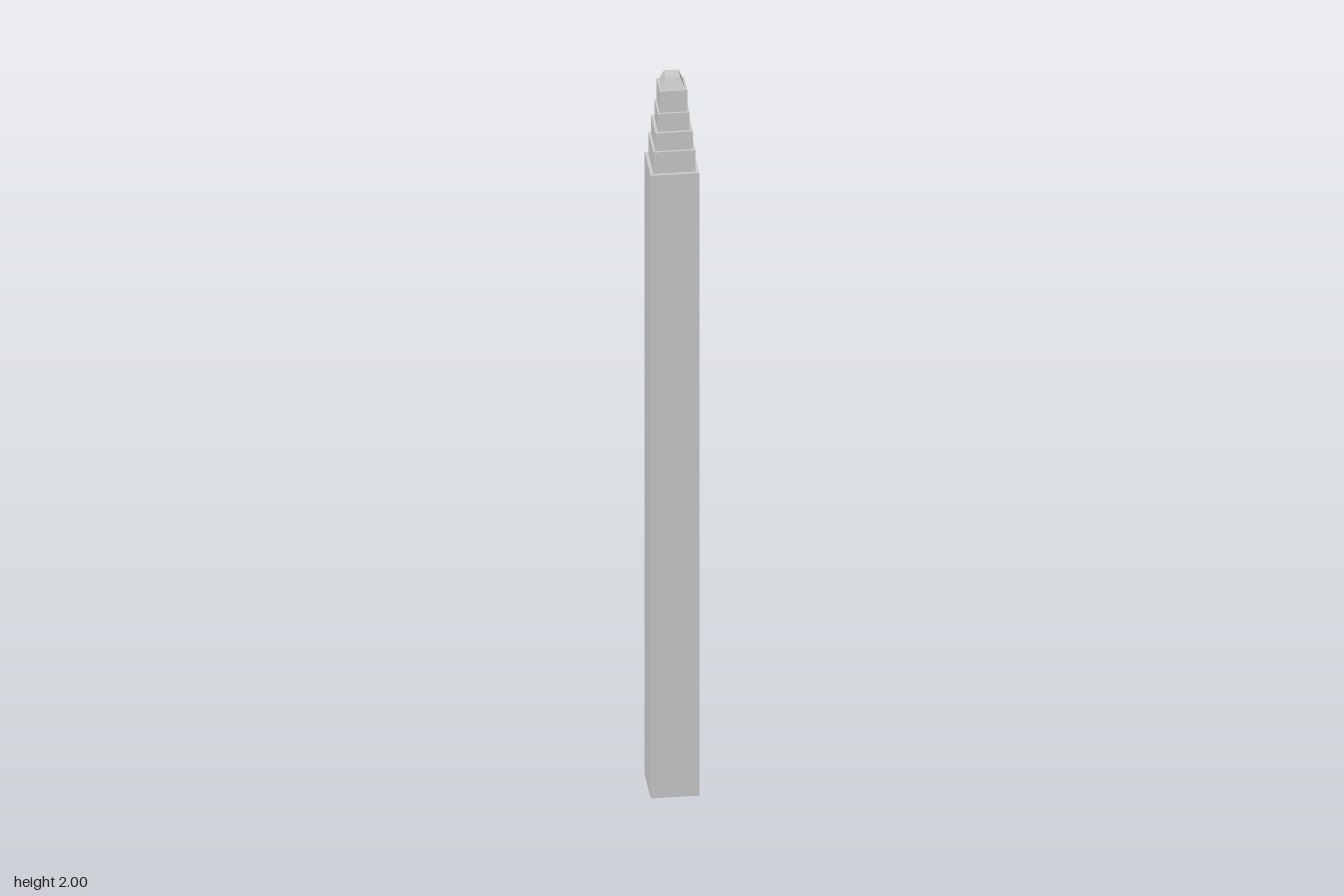
import * as THREE from 'three';

export function createModel() {
  const group = new THREE.Group();
  const material = new THREE.MeshStandardMaterial({ color: 0xcccccc, flatShading: true });

  function add(name, geometry, bottom, top) {
    const mesh = new THREE.Mesh(geometry, material);
    mesh.name = name;
    mesh.position.y = (bottom + top) / 2;
    group.add(mesh);
  }

  // Square shaft and the setbacks above it: [name, half width, bottom, top]
  const tiers = [
    ['shaft', 0.06, 0, 1.75],
    ['firstSetback', 0.052, 1.75, 1.81],
    ['secondSetback', 0.046, 1.81, 1.86],
    ['thirdSetback', 0.039, 1.86, 1.91],
    ['fourthSetback', 0.034, 1.91, 1.97],
  ];
  for (const [name, half, bottom, top] of tiers) {
    add(name, new THREE.BoxGeometry(half * 2, top - bottom, half * 2), bottom, top);
  }

  // Truncated pyramid cap, turned so its sides line up with the shaft
  const cap = new THREE.CylinderGeometry(0.018 * Math.SQRT2, 0.029 * Math.SQRT2, 0.03, 4);
  cap.rotateY(Math.PI / 4);
  add('cap', cap, 1.97, 2);

  return group;
}
